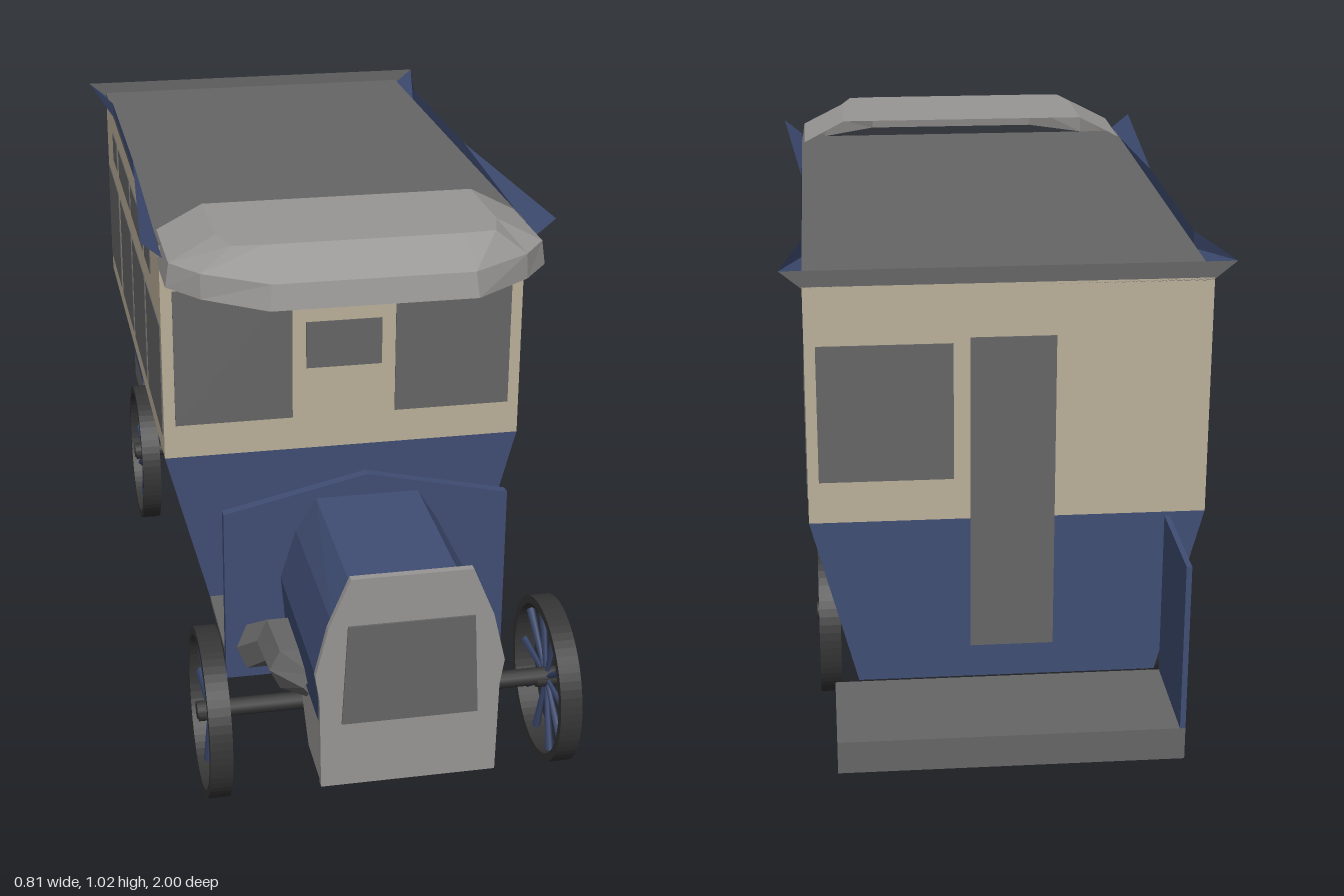
import * as THREE from 'three';

const mat = (name, color) => new THREE.MeshStandardMaterial({ name, color, side: THREE.DoubleSide });

export function createModel() {
  const blue = mat('blue paint', 0x404e74), cream = mat('cream paint', 0xbcb09a);
  const gray = mat('dark gray', 0x666666), silver = mat('light gray', 0x999795);
  const black = mat('tyre black', 0x363636);
  const root = new THREE.Group();

  const add = (name, geo, m, parent = root) => {
    const mesh = new THREE.Mesh(geo, m);
    mesh.name = name;
    parent.add(mesh);
    return mesh;
  };
  const box = (name, m, x0, x1, y0, y1, z0, z1) =>
    add(name, new THREE.BoxGeometry(x1 - x0, y1 - y0, z1 - z0), m)
      .position.set((x0 + x1) / 2, (y0 + y1) / 2, (z0 + z1) / 2);
  // flat outline in the xy plane with a thickness along z
  const slab = (name, m, pts, z, depth) => {
    const shape = new THREE.Shape(pts.map(p => new THREE.Vector2(...p)));
    add(name, new THREE.ExtrudeGeometry(shape, { depth, bevelEnabled: false }), m).geometry.translate(0, 0, z);
  };
  // flat-shaded skin through rows of points
  const loft = (name, m, ...rows) => {
    const pos = [];
    for (let r = 0; r + 1 < rows.length; r++) {
      const a = rows[r], b = rows[r + 1];
      for (let i = 0; i + 1 < a.length; i++)
        pos.push(...a[i], ...a[i + 1], ...b[i + 1], ...a[i], ...b[i + 1], ...b[i]);
    }
    const g = new THREE.BufferGeometry();
    g.setAttribute('position', new THREE.Float32BufferAttribute(pos, 3));
    g.computeVertexNormals();
    add(name, g, m);
  };
  const mirrored = half => [...half, ...half.slice().reverse().map(([x, ...rest]) => [-x, ...rest])];

  // Saloon: straight upper walls, tapered lower walls, open underneath
  const F = 0.385, B = -0.78, W = 0.365;
  const wAt = y => 0.28 + (W - 0.28) * (y - 0.195) / 0.325;
  const wallRing = y => [[W, y, F], [W, y, B], [-W, y, B], [-W, y, F], [W, y, F]];
  loft('upperWalls', cream, wallRing(0.52), wallRing(0.97));
  const across = (y, z) => [[-wAt(y), y, z], [wAt(y), y, z]];
  loft('lowerFrontWall', blue, across(0.52, F), across(0.195, F));
  loft('lowerBackWall', blue, across(0.195, B), across(0.52, B));
  for (const s of [1, -1]) {
    const along = y => s > 0 ? [[wAt(y), y, F], [wAt(y), y, B]] : [[-wAt(y), y, B], [-wAt(y), y, F]];
    loft('lowerSideWall', blue, along(0.315), along(0.52));
    loft('sideSkirt', gray, along(0.195), along(0.315));

    // Side windows and the small lights above them
    const x0 = s > 0 ? W - 0.002 : -W - 0.002, x1 = x0 + 0.004;
    for (const [z0, z1] of [[0.11, 0.37], [-0.175, 0.08], [-0.46, -0.205], [-0.765, -0.505]])
      box('sideWindow', gray, x0, x1, 0.565, 0.8, z0, z1);
    for (const [z0, z1] of [[0.11, 0.22], [-0.175, 0.08], [-0.46, -0.205], [-0.605, -0.505]])
      box('upperWindow', gray, x0, x1, 0.855, 0.922, z0, z1);

    // Roof edge, flared at both ends
    const zs = [0.45, -0.1, -0.58, B];
    loft('roofEdge', blue, zs.map(z => [s * W, 0.967, z]),
      zs.map((z, i) => [s * (i % 3 ? W : 0.405), 1, z]));
  }
  box('roof', gray, -W, W, 0.965, 0.975, B, F);
  loft('roofBackEdge', gray, [[-W, 0.967, B], [W, 0.967, B]], [[-0.405, 1, B], [0.405, 1, B]]);

  // Front and back windows, back door
  for (const [x0, x1, y0, y1] of [[-0.342, -0.105, 0.59, 0.875], [0.105, 0.342, 0.59, 0.875], [-0.077, 0.077, 0.695, 0.793]])
    box('frontWindow', gray, x0, x1, y0, y1, F - 0.002, F + 0.002);
  box('backWindow', gray, 0.1, 0.345, 0.6, 0.86, B - 0.002, B + 0.002);
  box('backDoor', gray, -0.085, 0.07, 0.26, 0.87, B - 0.002, B + 0.002);

  // Canopy over the driver
  const ring = (y, half) => mirrored(half.map(([x, z]) => [x, y, z]));
  loft('canopy', silver,
    ring(1.025, [[0, 0.31], [0, 0.31], [0, 0.31], [0, 0.31]]),
    ring(1.025, [[0.27, 0.31], [0.27, 0.5], [0.25, 0.57], [0.19, 0.575]]),
    ring(0.978, [[0.36, 0.31], [0.36, 0.51], [0.31, 0.58], [0.19, 0.66]]),
    ring(0.93, [[0.367, F], [0.367, 0.51], [0.31, 0.585], [0.195, 0.67]]));

  // Driver floor, dash panel, back platform and its side panel
  box('driverFloor', gray, -0.28, 0.28, 0.188, 0.197, F, 0.6);
  slab('dashPanel', blue, [[-0.28, 0.14], [0.28, 0.14], [0.28, 0.5], [0, 0.563], [-0.28, 0.5]], 0.595, 0.02);
  box('backPlatform', gray, -0.3, 0.325, 0.13, 0.192, -1, B);
  box('platformSidePanel', blue, -0.3, -0.29, 0.192, 0.512, -1, B);

  // Bonnet, radiator and the tray beneath them
  const bonnet = (z, top) => mirrored([[0.16, 0.245, z], [0.17, 0.355, z], [0.14, 0.455, z], [0.1, top, z]]);
  loft('bonnet', blue, bonnet(0.615, 0.52), bonnet(0.985, 0.51));
  slab('radiator', silver,
    mirrored([[0.162, 0.13], [0.165, 0.31], [0.173, 0.36], [0.15, 0.455], [0.11, 0.55]]), 0.982, 0.014);
  slab('grille', gray, [[-0.125, 0.26], [0.125, 0.26], [0.115, 0.458], [-0.115, 0.458]], 0.996, 0.004);
  for (const s of [1, -1]) {
    loft('traySide', silver, [[s * 0.16, 0.13, 0.982], [s * 0.16, 0.13, 0.86]],
      [[s * 0.16, 0.25, 0.982], [s * 0.16, 0.25, 0.74]]);
    // Faceted guard beside the bonnet, tapering forward and back
    const guard = (z, w, y0, y1) => [[0.15, y0], [w, y0], [w + 0.02, (y0 + y1) / 2], [w, y1], [0.15, y1], [0.15, y0]]
      .map(([x, y]) => [s * x, y, z]);
    loft('guard', gray, guard(0.53, 0.24, 0.188, 0.196), guard(0.6, 0.25, 0.145, 0.245), guard(0.66, 0.205, 0.2, 0.29),
      guard(0.78, 0.2, 0.21, 0.29), guard(0.86, 0.15, 0.23, 0.28));
    box('chassisRail', gray, s * 0.11 - 0.012, s * 0.11 + 0.012, 0.18, 0.205, 0.6, 0.98);
  }
  loft('trayFloor', silver, [[-0.16, 0.13, 0.86], [0.16, 0.13, 0.86]], [[-0.16, 0.13, 0.982], [0.16, 0.13, 0.982]]);

  // Wheels and axles
  const R = 0.162;
  const tyre = new THREE.Shape().absarc(0, 0, R, 0, Math.PI * 2);
  tyre.holes.push(new THREE.Path().absarc(0, 0, R - 0.016, 0, Math.PI * 2, true));
  const tyreGeo = new THREE.ExtrudeGeometry(tyre, { depth: 0.042, bevelEnabled: false, curveSegments: 32 })
    .translate(0, 0, -0.021).rotateY(Math.PI / 2);
  const spokeGeo = new THREE.CylinderGeometry(0.009, 0.005, R - 0.03, 4).translate(0, (R - 0.012) / 2 + 0.008, 0);
  const hubGeo = new THREE.CylinderGeometry(0.018, 0.018, 0.045, 12).rotateZ(Math.PI / 2);
  for (const [name, z] of [['front', 0.76], ['back', -0.425]]) {
    for (const x of [0.332, -0.332]) {
      const wheel = new THREE.Group();
      wheel.name = name + 'Wheel';
      wheel.position.set(x, R, z);
      add('tyre', tyreGeo, black, wheel);
      add('hub', hubGeo, black, wheel);
      for (let i = 0; i < 10; i++)
        add('spoke', spokeGeo, blue, wheel).rotation.x = (i + 0.5) * Math.PI / 5;
      root.add(wheel);
    }
    add(name + 'Axle', new THREE.CylinderGeometry(0.017, 0.017, 0.715, 12).rotateZ(Math.PI / 2), black)
      .position.set(0, 0.166, z);
  }
  return root;
}
